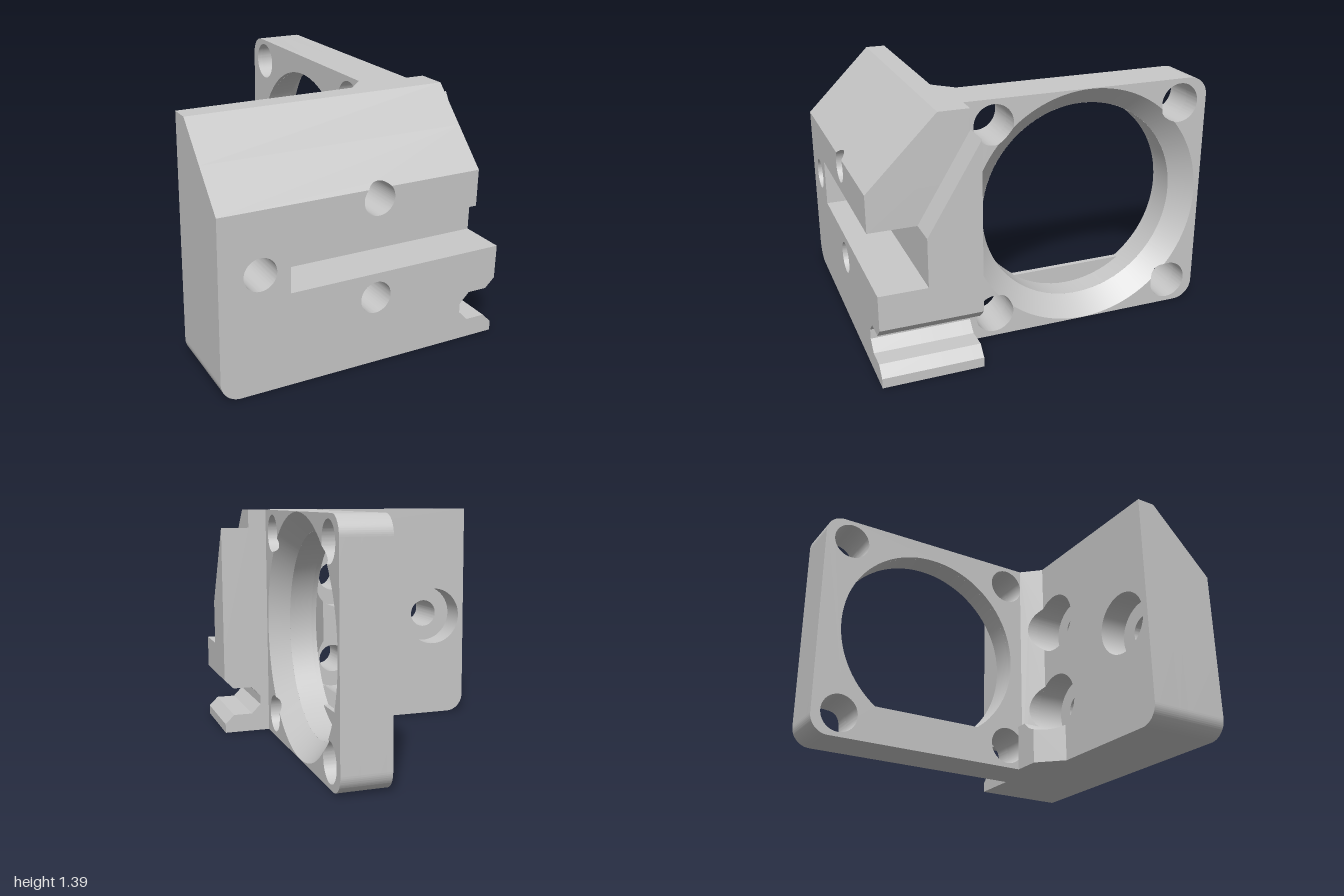
import * as THREE from 'three';
import { toCreasedNormals } from 'three/addons/utils/BufferGeometryUtils.js';

const PI = Math.PI;
const grey = new THREE.MeshStandardMaterial({ color: 0xc8c8c8, side: THREE.DoubleSide });
grey.name = 'machined grey';

// Block: half width, step of the flange, start of the slope, overall height
const W = 0.833, STEP = 0.664, SLOPE = 1.005, TOP = 1.39;
// Screw positions in the block
const SX = 0.055, SY_LOW = 0.39, SY_HIGH = 0.945, BORE = 0.09, HEAD = 0.1875;
// Ring opening and corner holes in the wall (u = -z, v = y)
const CU = 0.277, CV = 0.695, R_IN = 0.585, R_OUT = 0.692, D = 0.785, R_HOLE = 0.112;
const X0 = 0.277, X1 = 0.444, X2 = 0.555;

const polygon = (pts) => new THREE.Shape(pts.map((p) => new THREE.Vector2(...p)));

function circle(x, y, r) {
  const p = new THREE.Path();
  p.absarc(x, y, r, 0, PI * 2, true);
  return p;
}

// Extrude a front outline between z0 and z1; either end may be a function of (x, y)
function slab(shape, z0, z1) {
  const g = new THREE.ExtrudeGeometry(shape, { depth: 1, bevelEnabled: false, curveSegments: 40 });
  const p = g.attributes.position;
  for (let i = 0; i < p.count; i++) {
    const end = p.getZ(i) > 0.5 ? z1 : z0;
    p.setZ(i, typeof end === 'function' ? end(p.getX(i), p.getY(i)) : end);
  }
  g.computeVertexNormals();
  return toCreasedNormals(g, 0.5);
}

// Extrude a side outline (u = -z, v = y) from x0 to x1
const sideSlab = (shape, x0, x1) => slab(shape, x0, x1).rotateY(PI / 2);

// Ruled surface between two rows of points
function loft(a, b) {
  const pos = [];
  for (let i = 0; i < a.length - 1; i++) pos.push(...a[i], ...b[i], ...b[i + 1], ...a[i], ...b[i + 1], ...a[i + 1]);
  const g = new THREE.BufferGeometry();
  g.setAttribute('position', new THREE.Float32BufferAttribute(pos, 3));
  g.computeVertexNormals();
  return toCreasedNormals(g, 0.5);
}

// Keyhole notch on the right edge, bottom to top
const notch = [[W, 0], [W, 0.055], [0.778, 0.11], [0.664, 0.11], [0.608, 0.167], [0.608, 0.222],
  [0.664, 0.28], [0.778, 0.28], [W, 0.335], [W, 0.53]];

// Block outline up to the start of the slope, with screw holes of radius r
function bodyShape(r, slot) {
  const a = Math.asin((SLOPE - SY_HIGH) / r);
  const s = polygon([[-0.722, 0], ...notch]);
  if (slot) [[-0.445, 0.53], [-0.445, 0.8], [STEP, 0.8]].forEach((p) => s.lineTo(...p));
  else s.lineTo(STEP, 0.53);
  s.lineTo(STEP, SLOPE);
  s.absarc(SX, SY_HIGH, r, a, PI - a, true);
  s.lineTo(-W, SLOPE);
  s.absarc(-W + 0.111, 0.111, 0.111, PI, PI * 1.5, false);
  s.holes.push(circle(SX, SY_LOW, r), circle(-0.61, 0.667, r));
  return s;
}

// Band above it, holding the top of the upper screw hole
function bandShape(r) {
  const a = Math.asin((SLOPE - SY_HIGH) / r);
  const s = polygon([[STEP, 1.2], [-W, 1.2], [-W, SLOPE]]);
  s.absarc(SX, SY_HIGH, r, PI - a, a, true);
  s.lineTo(STEP, SLOPE);
  return s;
}

// Wall outline with rounded corners at the far end
function wallShape(holes) {
  const s = polygon([[-0.444, TOP], [-0.444, 0]]);
  s.absarc(0.889, 0.111, 0.111, -PI / 2, 0, false);
  s.absarc(0.889, TOP - 0.111, 0.111, 0, PI / 2, false);
  s.holes.push(...holes);
  return s;
}

export function createModel() {
  const model = new THREE.Group();
  model.name = 'bracket';
  const add = (name, geometry) => {
    const m = new THREE.Mesh(geometry, grey);
    m.name = name;
    model.add(m);
  };

  // Front block in depth layers: counterbores, screw holes, slot
  const slopeZ = (x, y) => 1 + SLOPE - y;
  add('blockBack', slab(bodyShape(HEAD, false), 0.5, 0.67));
  add('blockMiddle', slab(bodyShape(BORE, false), 0.67, 0.736));
  add('blockFront', slab(bodyShape(BORE, true), 0.736, 1));
  add('slopeBandBack', slab(bandShape(HEAD), 0.5, 0.67));
  add('slopeBandFront', slab(bandShape(BORE), 0.67, slopeZ));
  add('slopeTop', sideSlab(polygon([[-slopeZ(0, 1.2), 1.2], [-0.5, 1.2], [-0.5, TOP], [-slopeZ(0, TOP), TOP]]), -W, STEP));

  // Thicker right side and its sloped flange
  add('blockRightBack', slab(polygon([[X0, 0], ...notch, [STEP, 0.53], [STEP, TOP], [X0, TOP]]), 0.444, 0.5));
  add('sideFlange', sideSlab(polygon([[-0.736, 0.53], [-0.444, 0.53], [-0.444, 1.28], [-0.736, 0.8]]), STEP, W));

  // Corner fillet between block and wall, cut by the counterbores
  const fillet = polygon([[0.17, 0], [X0, 0], [X0, TOP], [0.17, TOP]]);
  const b = Math.acos((0.17 - SX) / HEAD);
  for (const y of [SY_HIGH, SY_LOW]) fillet.absarc(SX, y, HEAD, b, -b, true);
  add('cornerFillet', slab(fillet, (x) => 0.5 - (x - 0.17) * 1.04, 0.5));

  // Small foot at the bottom of the corner, scooped by the lower counterbore
  const angleAt = (x) => -Math.acos((x - SX) / HEAD);
  const scooped = (x0, xArc, right) => {
    const s = polygon([[x0, 0], ...right]);
    s.absarc(SX, SY_LOW, HEAD, angleAt(xArc), angleAt(x0), true);
    return s;
  };
  const rim = SX + Math.sqrt(HEAD ** 2 - (SY_LOW - 0.275) ** 2);
  add('footSlope', slab(scooped(-0.03, 0.11, [[0.11, 0]]), (x) => 0.47 - x, 0.5));
  add('foot', slab(scooped(0.11, rim, [[X0, 0], [X0, 0.275]]), 0.36, 0.5));

  // Wall: back plate whose opening has a flat bottom, then the round land
  const corners = [0, 1, 2, 3].map((k) => {
    const phi = PI / 4 + (k * PI) / 2;
    return { phi, u: CU + D * Math.cos(phi), v: CV + D * Math.sin(phi) };
  });
  const cornerHoles = () => corners.map((c) => circle(c.u, c.v, R_HOLE));
  const chord = Math.asin((0.22 - CV) / R_IN);
  const flatOpening = new THREE.Path();
  flatOpening.absarc(CU, CV, R_IN, chord, PI - chord, false);
  flatOpening.closePath();
  add('wallBack', sideSlab(wallShape([flatOpening, ...cornerHoles()]), X0, X0 + 0.03));
  add('wallLand', sideSlab(wallShape([circle(CU, CV, R_IN), ...cornerHoles()]), X0 + 0.03, X1));

  // Wall outer layer: the opening merges with the four corner holes
  const beta = Math.acos((R_OUT ** 2 + D ** 2 - R_HOLE ** 2) / (2 * R_OUT * D));
  const gamma = Math.acos((D ** 2 + R_HOLE ** 2 - R_OUT ** 2) / (2 * D * R_HOLE));
  const merged = new THREE.Path();
  for (const { phi, u, v } of corners) {
    merged.absarc(CU, CV, R_OUT, phi - PI / 2 + beta, phi - beta, false);
    merged.absarc(u, v, R_HOLE, phi + PI + gamma, phi + 3 * PI - gamma, false);
  }
  add('wallFront', sideSlab(wallShape([merged]), X1, X2));

  // Conical lead-in, trimmed where the corner holes break into it
  const coneX = (r) => X1 + ((r - R_IN) / (R_OUT - R_IN)) * (X2 - X1);
  const inner = [], outer = [];
  for (let i = 0; i <= 360; i++) {
    const t = (i / 360) * PI * 2;
    const d = (t % (PI / 2)) - PI / 4;
    const gap = R_HOLE ** 2 - (D * Math.sin(d)) ** 2;
    const r = gap > 0 ? Math.min(R_OUT, D * Math.cos(d) - Math.sqrt(gap)) : R_OUT;
    const at = (q) => [coneX(q), CV + q * Math.sin(t), -(CU + q * Math.cos(t))];
    inner.push(at(R_IN));
    outer.push(at(r));
  }
  add('conicalLeadIn', loft(inner, outer));

  // Hole walls on the side facing the opening
  for (const { phi, u, v } of corners) {
    const low = [], high = [];
    for (let i = 0; i <= 16; i++) {
      const t = phi + PI - gamma + (i / 16) * 2 * gamma;
      const pu = u + R_HOLE * Math.cos(t), pv = v + R_HOLE * Math.sin(t);
      low.push([X1, pv, -pu]);
      high.push([coneX(Math.hypot(pu - CU, pv - CV)), pv, -pu]);
    }
    add('cornerHoleWall', loft(low, high));
  }
  return model;
}
